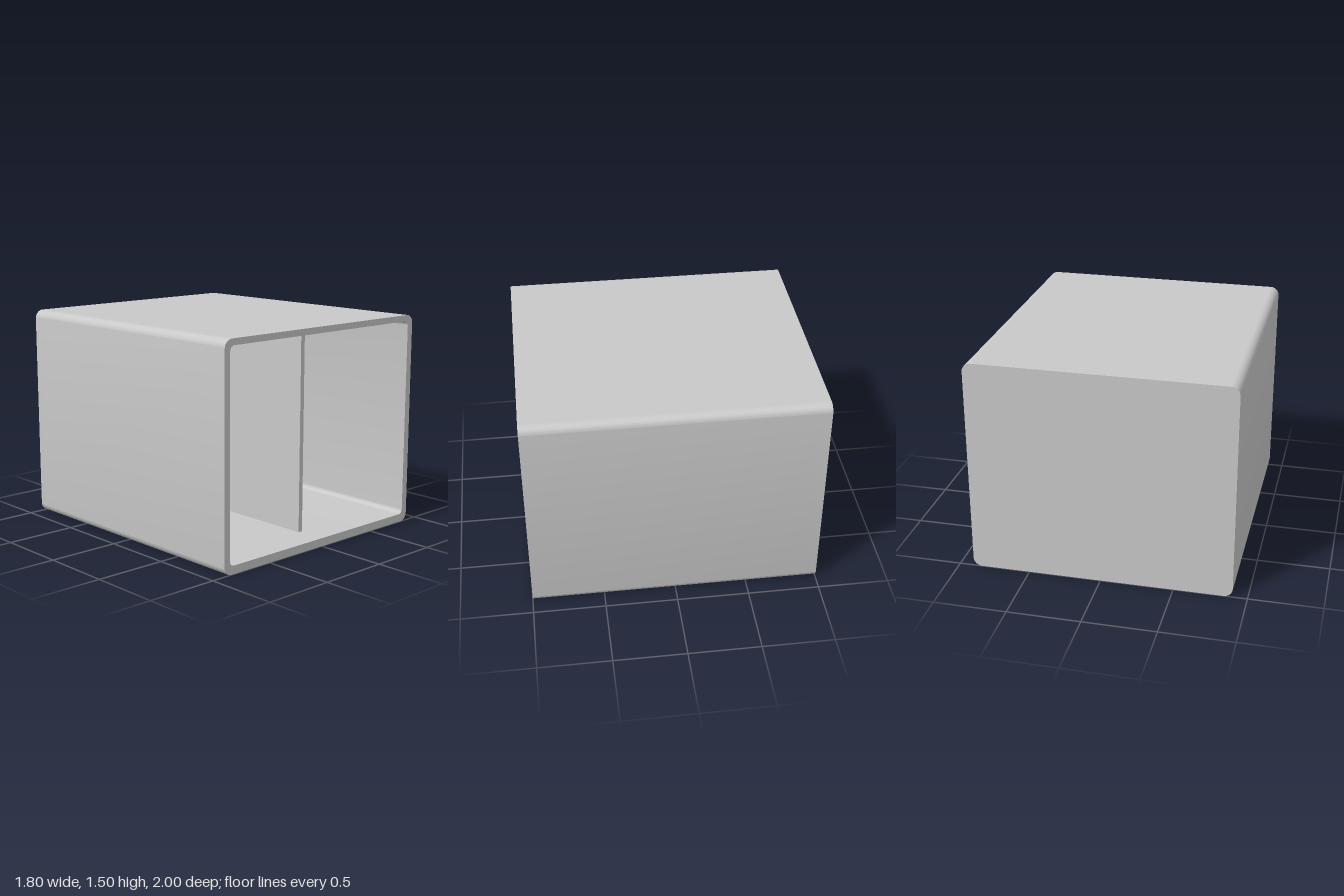
import * as THREE from 'three';
import { toCreasedNormals } from 'three/addons/utils/BufferGeometryUtils.js';

// Trace a rounded rectangle onto a Shape or Path
function roundedRect(path, x0, y0, x1, y1, r) {
  path.moveTo(x0 + r, y0);
  path.lineTo(x1 - r, y0);
  path.absarc(x1 - r, y0 + r, r, -Math.PI / 2, 0, false);
  path.lineTo(x1, y1 - r);
  path.absarc(x1 - r, y1 - r, r, 0, Math.PI / 2, false);
  path.lineTo(x0 + r, y1);
  path.absarc(x0 + r, y1 - r, r, Math.PI / 2, Math.PI, false);
  path.lineTo(x0, y0 + r);
  path.absarc(x0 + r, y0 + r, r, Math.PI, Math.PI * 1.5, false);
  return path;
}

// Extrude a shape from z0 to z1 with smooth corners and sharp rims
function extrude(shape, z0, z1) {
  const geo = new THREE.ExtrudeGeometry(shape, { depth: z1 - z0, bevelEnabled: false, curveSegments: 16 });
  geo.translate(0, 0, z0);
  return toCreasedNormals(geo, 0.5);
}

export function createModel() {
  const group = new THREE.Group();
  group.name = 'dividedBox';

  const grey = new THREE.MeshStandardMaterial({ color: 0xc8c8c8 });
  grey.name = 'light grey';

  const add = (name, geo) => {
    const mesh = new THREE.Mesh(geo, grey);
    mesh.name = name;
    group.add(mesh);
    return mesh;
  };

  const outline = () => roundedRect(new THREE.Shape(), -0.9, 0, 0.9, 1.5, 0.06);
  const backInner = -0.95;

  // Four walls as one open sleeve
  const sleeve = outline();
  sleeve.holes.push(roundedRect(new THREE.Path(), -0.855, 0.057, 0.852, 1.457, 0.035));
  add('outerShell', extrude(sleeve, backInner, 1));

  // Closed back
  add('backPanel', extrude(outline(), -1, backInner));

  // Upright divider, set back from the opening
  const dividerFront = 0.8;
  const divider = add('divider', new THREE.BoxGeometry(0.034, 1.4, dividerFront - backInner));
  divider.position.set(-0.002, 0.757, (dividerFront + backInner) / 2);

  return group;
}
